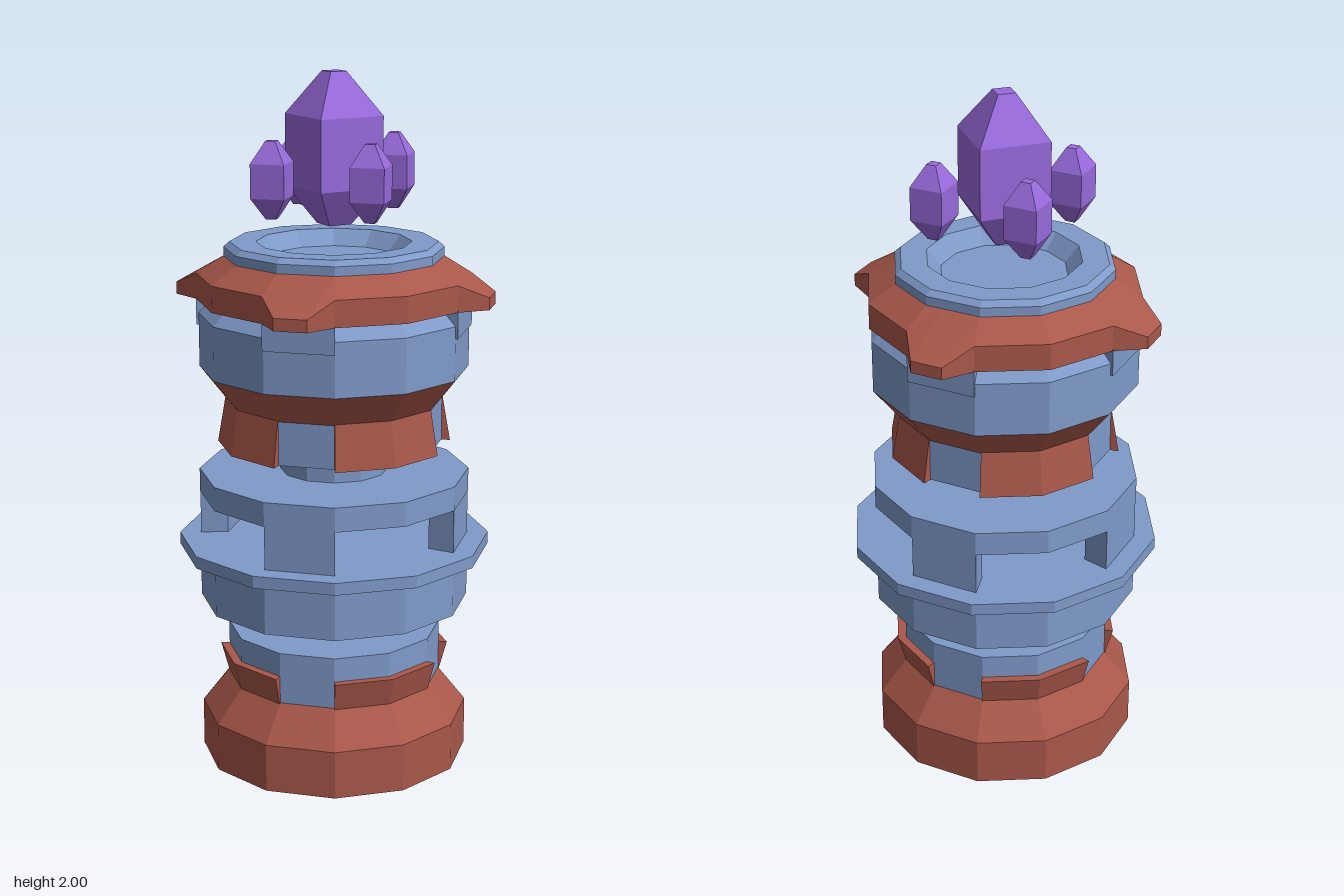
import * as THREE from 'three';

const SIDES = 12;
const STEP = (Math.PI * 2) / SIDES;
const QUARTER = Math.PI / 2;

// Split faces apart so every facet is flat
function faceted(geometry) {
  const g = geometry.index ? geometry.toNonIndexed() : geometry;
  g.deleteAttribute('uv');
  g.computeVertexNormals();
  return g;
}

// Turned solid from [radius, y] pairs, bottom to top
function turned(profile, sides = SIDES, start = 0) {
  const pts = profile.map(([r, y]) => new THREE.Vector2(r, y));
  return faceted(new THREE.LatheGeometry(pts, sides, start));
}

// Point on the plane at a given angle about the y axis
const polar = (r, y, a) => [r * Math.sin(a), y, r * Math.cos(a)];

// Loft between rings of points; closed loops run counter-clockwise seen from above
function loft(rings) {
  const pos = [];
  for (let i = 0; i < rings.length - 1; i++) {
    const lo = rings[i], hi = rings[i + 1], n = lo.length;
    for (let j = 0; j < n; j++) {
      const k = (j + 1) % n;
      pos.push(...lo[j], ...lo[k], ...hi[k], ...lo[j], ...hi[k], ...hi[j]);
    }
  }
  const g = new THREE.BufferGeometry();
  g.setAttribute('position', new THREE.Float32BufferAttribute(pos, 3));
  g.computeVertexNormals();
  return g;
}

// Closed wedge of a ring: four [radius, y] corners swept over some facets
function sector(quad, centre, facets) {
  const pos = [];
  const start = centre - (facets * STEP) / 2;
  const face = (a, b, c, d) => pos.push(...a, ...b, ...c, ...a, ...c, ...d);
  for (let s = 0; s < facets; s++) {
    const a0 = start + s * STEP, a1 = a0 + STEP;
    quad.forEach(([r, y], i) => {
      const [r2, y2] = quad[(i + 1) % 4];
      face(polar(r, y, a0), polar(r, y, a1), polar(r2, y2, a1), polar(r2, y2, a0));
    });
  }
  const end = start + facets * STEP;
  face(...quad.map(([r, y]) => polar(r, y, start)));
  face(...quad.map(([r, y]) => polar(r, y, end)).reverse());
  const g = new THREE.BufferGeometry();
  g.setAttribute('position', new THREE.Float32BufferAttribute(pos, 3));
  g.computeVertexNormals();
  return g;
}

// Cap with a drooping ear on each diagonal
function earedCap() {
  const bottom = [], rim = [], top = [], underside = [], lid = [];
  for (let q = 0; q < 4; q++) {
    for (const deg of [0, 30, 39.2, 50.8, 60]) {
      const a = q * QUARTER + THREE.MathUtils.degToRad(deg);
      const ear = deg > 30 && deg < 60;
      const onFacet = ear ? Math.cos(STEP / 2) / Math.cos(THREE.MathUtils.degToRad(deg - 45)) : 1;
      const r = ear ? 0.458 : 0.39;
      underside.push([0, 1.36, 0]);
      bottom.push(polar(r, 1.36, a));
      rim.push(polar(r, ear ? 1.395 : 1.435, a));
      top.push(polar(0.31 * onFacet, 1.485, a));
      lid.push([0, 1.47, 0]);
    }
  }
  return loft([underside, bottom, rim, top, lid]);
}

export function createModel() {
  const model = new THREE.Group();
  model.name = 'crystalTower';

  const blue = new THREE.MeshStandardMaterial({ color: 0x7f9ac9 });
  blue.name = 'slate blue';
  const red = new THREE.MeshStandardMaterial({ color: 0xa9584a });
  red.name = 'brick red';
  const purple = new THREE.MeshStandardMaterial({ color: 0x986adb });
  purple.name = 'crystal purple';

  const add = (name, geometry, material) => {
    const mesh = new THREE.Mesh(geometry, material);
    mesh.name = name;
    model.add(mesh);
    return mesh;
  };

  // Foot and lower collar
  add('base', turned([[0, 0], [0.39, 0], [0.39, 0.14], [0.31, 0.24], [0, 0.24]]), red);
  add('lowerCollar', turned([[0, 0.23], [0.31, 0.23], [0.31, 0.39], [0, 0.39]]), blue);

  // Necks
  for (const [name, y] of [['lowerNeck', 0.39], ['upperNeck', 0.86]]) {
    add(name, turned([[0, y], [0.155, y], [0.155, y + 0.065], [0.13, y + 0.085], [0, y + 0.085]]), blue);
  }

  // Middle drum, flange and upper disc
  add('drum', turned([[0, 0.475], [0.39, 0.475], [0.39, 0.635], [0, 0.635]]), blue);
  add('flange', turned([[0, 0.63], [0.45, 0.63], [0.45, 0.665], [0, 0.665]]), blue);
  add('upperDisc', turned([[0, 0.79], [0.39, 0.79], [0.39, 0.86], [0, 0.86]]), blue);

  // Upper collar, flare and head
  add('upperCollar', turned([[0, 0.945], [0.31, 0.945], [0.31, 1.08], [0, 1.08]]), blue);
  add('flare', turned([[0, 1.07], [0.31, 1.07], [0.385, 1.165], [0, 1.165]]), red);
  add('head', turned([[0, 1.165], [0.385, 1.165], [0.385, 1.32], [0.345, 1.36], [0, 1.36]]), blue);

  // Fins on the four sides; pillars and brackets on the diagonals
  for (let q = 0; q < 4; q++) {
    const side = q * QUARTER, diagonal = side + QUARTER / 2;
    add('lowerFin', sector([[0.29, 0.235], [0.312, 0.235], [0.335, 0.32], [0.3, 0.32]], side, 2), red);
    add('upperFin', sector([[0.3, 0.945], [0.335, 0.943], [0.312, 1.075], [0.29, 1.075]], side, 2), red);
    add('pillar', sector([[0.31, 0.66], [0.389, 0.66], [0.389, 0.795], [0.31, 0.795]], diagonal, 1), blue);
    add('bracket', sector([[0.33, 1.285], [0.392, 1.285], [0.392, 1.365], [0.33, 1.365]], diagonal, 1), blue);
  }

  // Cap and hollow crown
  add('cap', earedCap(), red);
  add('crown', turned([[0, 1.46], [0.312, 1.475], [0.312, 1.51], [0.295, 1.525],
    [0.22, 1.525], [0.18, 1.48], [0, 1.48]]), blue);

  // Floating crystals
  const w = Math.SQRT2;
  add('mainCrystal', turned([[0, 1.575], [0.035 * w, 1.575], [0.1 * w, 1.68], [0.1 * w, 1.88],
    [0.025 * w, 2], [0, 2]], 4, Math.PI / 4), purple);
  for (let q = 0; q < 4; q++) {
    const crystal = add('smallCrystal', turned([[0, 1.605], [0.02, 1.605], [0.068, 1.665],
      [0.068, 1.76], [0.02, 1.82], [0, 1.82]], 4), purple);
    crystal.position.set(0.198 * Math.sin(q * QUARTER), 0, 0.198 * Math.cos(q * QUARTER));
  }

  return model;
}
